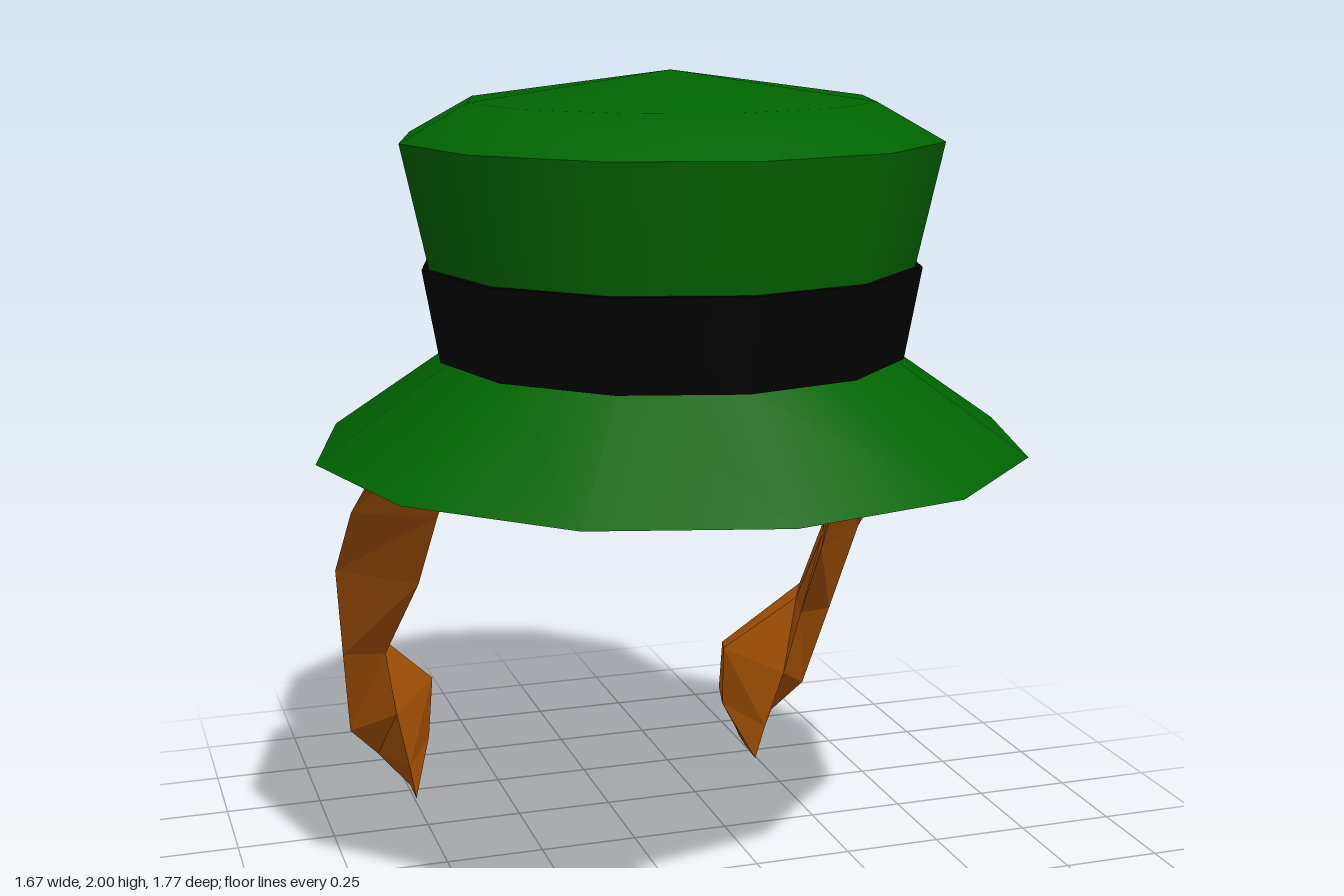
import * as THREE from 'three';

const green = new THREE.MeshStandardMaterial({ color: 0x006400 });
green.name = 'felt green';
const black = new THREE.MeshStandardMaterial({ color: 0x010101 });
black.name = 'band black';
const gold = new THREE.MeshStandardMaterial({ color: 0xa06c04 });
gold.name = 'buckle gold';
const ginger = new THREE.MeshStandardMaterial({ color: 0xae5604 });
ginger.name = 'hair ginger';

const SIDES = 12;
const HAT_Z = 0.05;

function addMesh(parent, name, geometry, material) {
  const mesh = new THREE.Mesh(geometry, material);
  mesh.name = name;
  parent.add(mesh);
  return mesh;
}

// Twelve-sided ring or cap from [radius, height] pairs, listed bottom to top
function turned(points) {
  return new THREE.LatheGeometry(points.map(([r, y]) => new THREE.Vector2(r, y)), SIDES);
}

// Faceted loft through four-cornered sections: front, outer, back, inner
const LOCK_SECTIONS = [
  [[0.475, 1.265, 0.1], [0.62, 1.265, 0.07], [0.54, 1.265, -0.17], [0.507, 1.265, -0.035]],
  [[0.52, 0.94, -0.16], [0.71, 0.94, -0.27], [0.615, 0.94, -0.455], [0.567, 0.94, -0.31]],
  [[0.54, 0.73, -0.32], [0.72, 0.73, -0.5], [0.645, 0.73, -0.57], [0.592, 0.73, -0.445]],
  [[0.585, 0.47, -0.575], [0.69, 0.46, -0.625], [0.625, 0.52, -0.69], [0.59, 0.5, -0.625]],
  [[0.553, 0.28, -0.62], [0.66, 0.2, -0.745], [0.455, 0.305, -0.867], [0.425, 0.32, -0.77]],
  [[0.515, 0.11, -0.662], [0.58, 0.11, -0.785], [0.452, 0.16, -0.885], [0.433, 0.14, -0.8]],
  [[0.495, 0.005, -0.685], [0.497, 0.015, -0.76], [0.495, 0.025, -0.83], [0.493, 0.015, -0.76]],
];

function hairLock(side) {
  const positions = [];
  const triangle = (a, b, c) => {
    const corners = side > 0 ? [a, b, c] : [a, c, b];
    corners.forEach(([x, y, z]) => positions.push(x * side, y, z));
  };
  for (let i = 0; i < LOCK_SECTIONS.length - 1; i++) {
    const upper = LOCK_SECTIONS[i];
    const lower = LOCK_SECTIONS[i + 1];
    for (let j = 0; j < 4; j++) {
      const k = (j + 1) % 4;
      triangle(upper[j], lower[j], lower[k]);
      triangle(upper[j], lower[k], upper[k]);
    }
  }
  // Close the tip
  const tip = LOCK_SECTIONS[LOCK_SECTIONS.length - 1];
  triangle(tip[0], tip[3], tip[2]);
  triangle(tip[0], tip[2], tip[1]);
  const geometry = new THREE.BufferGeometry();
  geometry.setAttribute('position', new THREE.Float32BufferAttribute(positions, 3));
  geometry.computeVertexNormals();
  return geometry;
}

// Rectangle outline centred on the origin
function rectangle(path, w, h) {
  path.moveTo(-w / 2, -h / 2);
  path.lineTo(w / 2, -h / 2);
  path.lineTo(w / 2, h / 2);
  path.lineTo(-w / 2, h / 2);
  path.closePath();
  return path;
}

export function createModel() {
  const model = new THREE.Group();
  model.name = 'hatWithHair';

  // Hat, with a hollowed underside
  const hat = new THREE.Group();
  hat.name = 'hat';
  hat.position.z = HAT_Z;
  model.add(hat);
  addMesh(hat, 'brimUnderside', turned([[0, 1.37], [0.835, 1.142]]), green);
  addMesh(hat, 'brim', turned([[0.835, 1.142], [0.52, 1.36]]), green);
  addMesh(hat, 'crownSide', turned([[0.52, 1.36], [0.625, 1.85]]), green);
  addMesh(hat, 'crownTop', turned([[0.625, 1.85], [0.47, 1.935], [0, 2]]), green);

  // Band with thin lips closing it against the crown
  addMesh(hat, 'band', turned([[0.545, 1.358], [0.582, 1.57]]), black);
  addMesh(hat, 'bandTopLip', turned([[0.582, 1.57], [0.56, 1.57]]), black);
  addMesh(hat, 'bandBottomLip', turned([[0.515, 1.358], [0.545, 1.358]]), black);

  // Buckle frame on the back of the band
  const frame = rectangle(new THREE.Shape(), 0.24, 0.3);
  frame.holes.push(rectangle(new THREE.Path(), 0.135, 0.185));
  const buckle = addMesh(model, 'buckle',
    new THREE.ExtrudeGeometry(frame, { depth: 0.05, bevelEnabled: false }), gold);
  buckle.position.set(0, 1.475, -0.533);

  // Hair locks hanging behind
  addMesh(model, 'leftHairLock', hairLock(1), ginger);
  addMesh(model, 'rightHairLock', hairLock(-1), ginger);

  return model;
}
